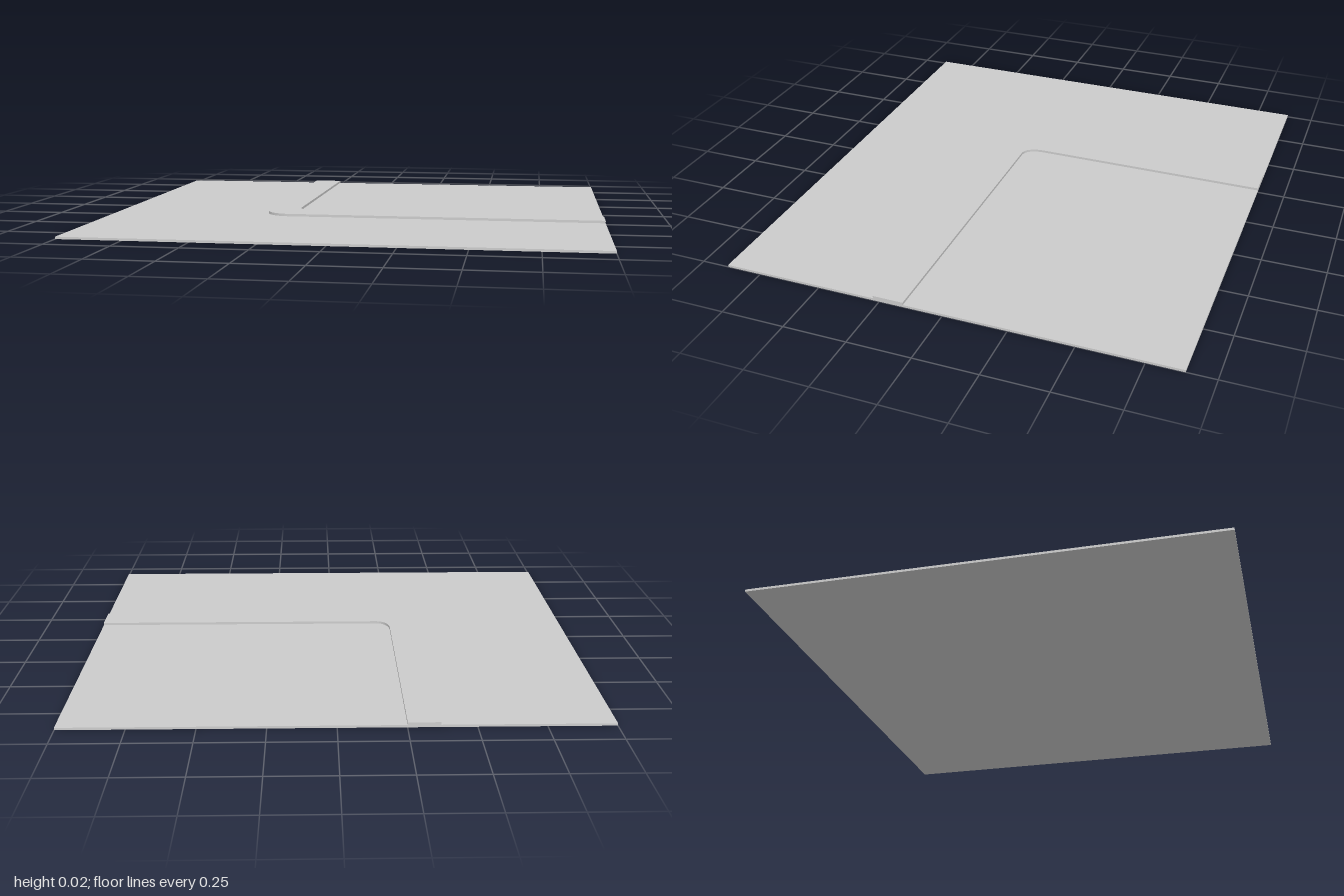
import * as THREE from 'three';

const W = 2, D = 1.78, BASE = 0.009, RAISE = 0.01;

export function createModel() {
  const group = new THREE.Group();
  const material = new THREE.MeshStandardMaterial({ color: 0xcccccc, flatShading: true });

  // Thin ground plate
  const plate = new THREE.Mesh(new THREE.BoxGeometry(W, BASE, D), material);
  plate.name = 'groundPlate';
  plate.position.y = BASE / 2;
  group.add(plate);

  // Raised L-shaped path with rounded bend; shape y is -z
  const right = W / 2, back = D / 2;
  const s = new THREE.Shape();
  s.moveTo(-0.37, back);
  s.lineTo(-0.37, -0.17);
  s.absarc(-0.265, -0.17, 0.105, Math.PI, Math.PI * 1.5, false);
  s.lineTo(right, -0.275);
  s.lineTo(right, -0.155);
  s.lineTo(-0.195, -0.155);
  s.bezierCurveTo(-0.228, -0.155, -0.25, -0.12, -0.25, -0.075);
  s.lineTo(-0.25, back);
  s.closePath();

  const pathGeometry = new THREE.ExtrudeGeometry(s, { depth: RAISE, bevelEnabled: false, curveSegments: 8 });
  pathGeometry.rotateX(-Math.PI / 2);
  const path = new THREE.Mesh(pathGeometry, material);
  path.name = 'raisedPath';
  path.position.y = BASE;
  group.add(path);

  return group;
}
